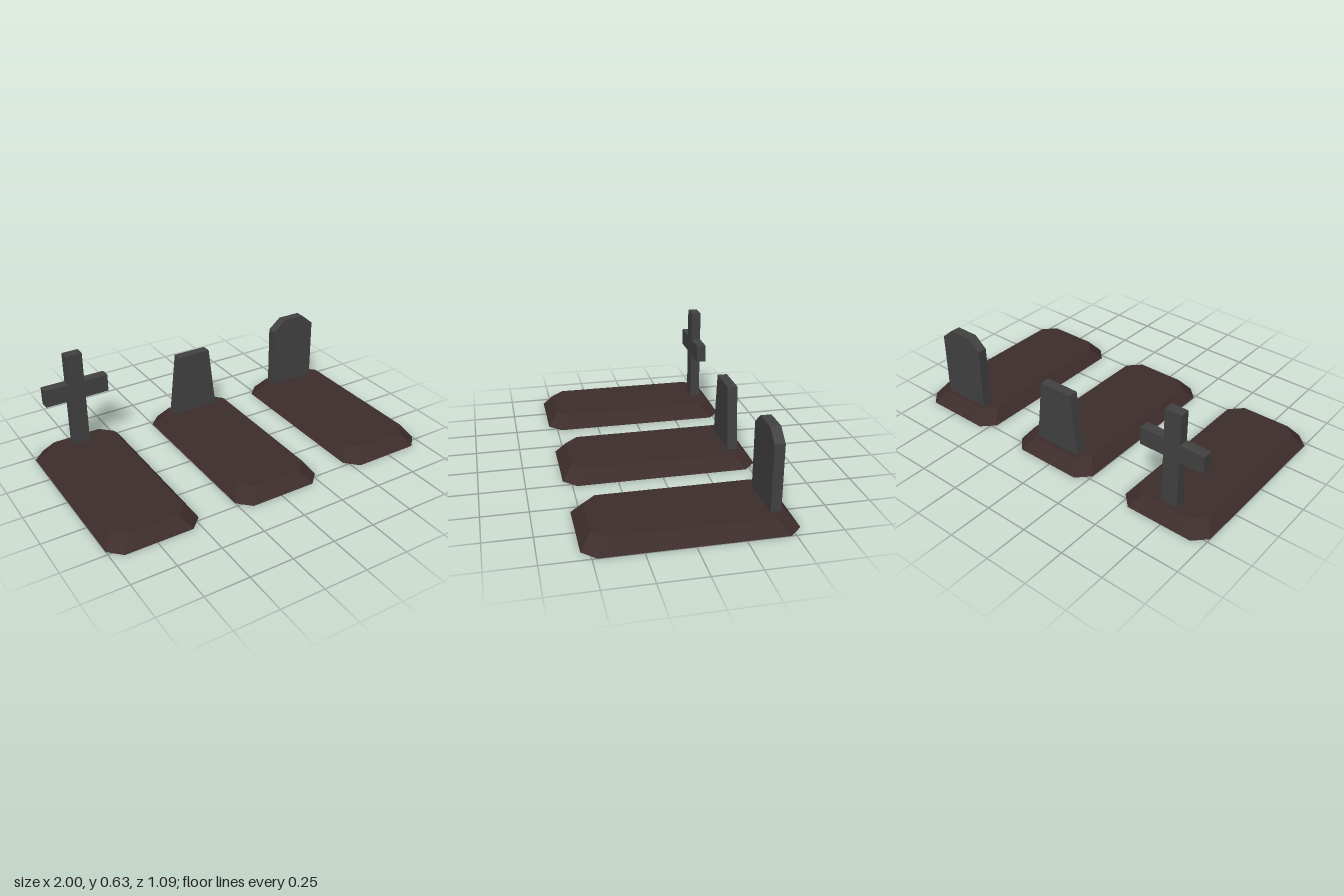
import * as THREE from 'three';

const earth = new THREE.MeshStandardMaterial({ color: 0x3e2d2d, side: THREE.DoubleSide, flatShading: true });
earth.name = 'darkEarth';
const stone = new THREE.MeshStandardMaterial({ color: 0x424242, flatShading: true });
stone.name = 'darkStone';

const MOUND_TOP = 0.073;
const STONE_BASE = 0.06; // stones sink slightly into the mound
const STONE_BACK = -0.46;
const STONE_DEPTH = 0.056;

// Chamfered rectangle, counter-clockwise seen from above
function octagon(w, d, c, y) {
  return [
    [w, c - d], [w - c, -d], [c - w, -d], [-w, c - d],
    [-w, d - c], [c - w, d], [w - c, d], [w, d - c],
  ].map(([x, z]) => [x, y, z]);
}

// Open-bottomed mound: sloping sides and a flat top
function moundGeometry() {
  const low = octagon(0.2625, 0.546, 0.07, 0);
  const high = octagon(0.21, 0.487, 0.07, MOUND_TOP);
  const centre = [0, MOUND_TOP, 0];
  const corners = [];
  for (let i = 0; i < 8; i++) {
    const j = (i + 1) % 8;
    corners.push(low[i], low[j], high[j], low[i], high[j], high[i]);
    corners.push(centre, high[i], high[j]);
  }
  const geometry = new THREE.BufferGeometry();
  geometry.setAttribute('position', new THREE.Float32BufferAttribute(corners.flat(), 3));
  geometry.computeVertexNormals();
  return geometry;
}

// Flat stone slab cut from an outline, x measured from the grave's centre
function slab(name, outline) {
  const shape = new THREE.Shape(outline.map(([x, y]) => new THREE.Vector2(x, y)));
  const geometry = new THREE.ExtrudeGeometry(shape, { depth: STONE_DEPTH, bevelEnabled: false });
  geometry.translate(0, 0, STONE_BACK);
  const mesh = new THREE.Mesh(geometry, stone);
  mesh.name = name;
  return mesh;
}

// Outline mirrored about x = 0 from its right half, listed bottom to top
function mirrored(half) {
  return [...half, ...half.map(([x, y]) => [-x, y]).reverse()];
}

export function createModel() {
  const model = new THREE.Group();
  model.name = 'graves';
  const mound = moundGeometry();

  const graves = [
    ['crossGrave', -0.7375, slab('stoneCross', mirrored([
      [0.048, STONE_BASE], [0.048, 0.358], [0.187, 0.358],
      [0.187, 0.46], [0.048, 0.46], [0.048, 0.633],
    ]))],
    ['taperedGrave', 0.0125, slab('taperedHeadstone', mirrored([
      [0.144, STONE_BASE], [0.101, 0.44],
    ]))],
    ['chamferedGrave', 0.7375, slab('chamferedHeadstone', mirrored([
      [0.145, STONE_BASE], [0.145, 0.44], [0.07, 0.503],
    ]))],
  ];

  for (const [name, x, marker] of graves) {
    const grave = new THREE.Group();
    grave.name = name;
    grave.position.x = x;
    const base = new THREE.Mesh(mound, earth);
    base.name = 'earthMound';
    grave.add(base, marker);
    model.add(grave);
  }
  return model;
}
